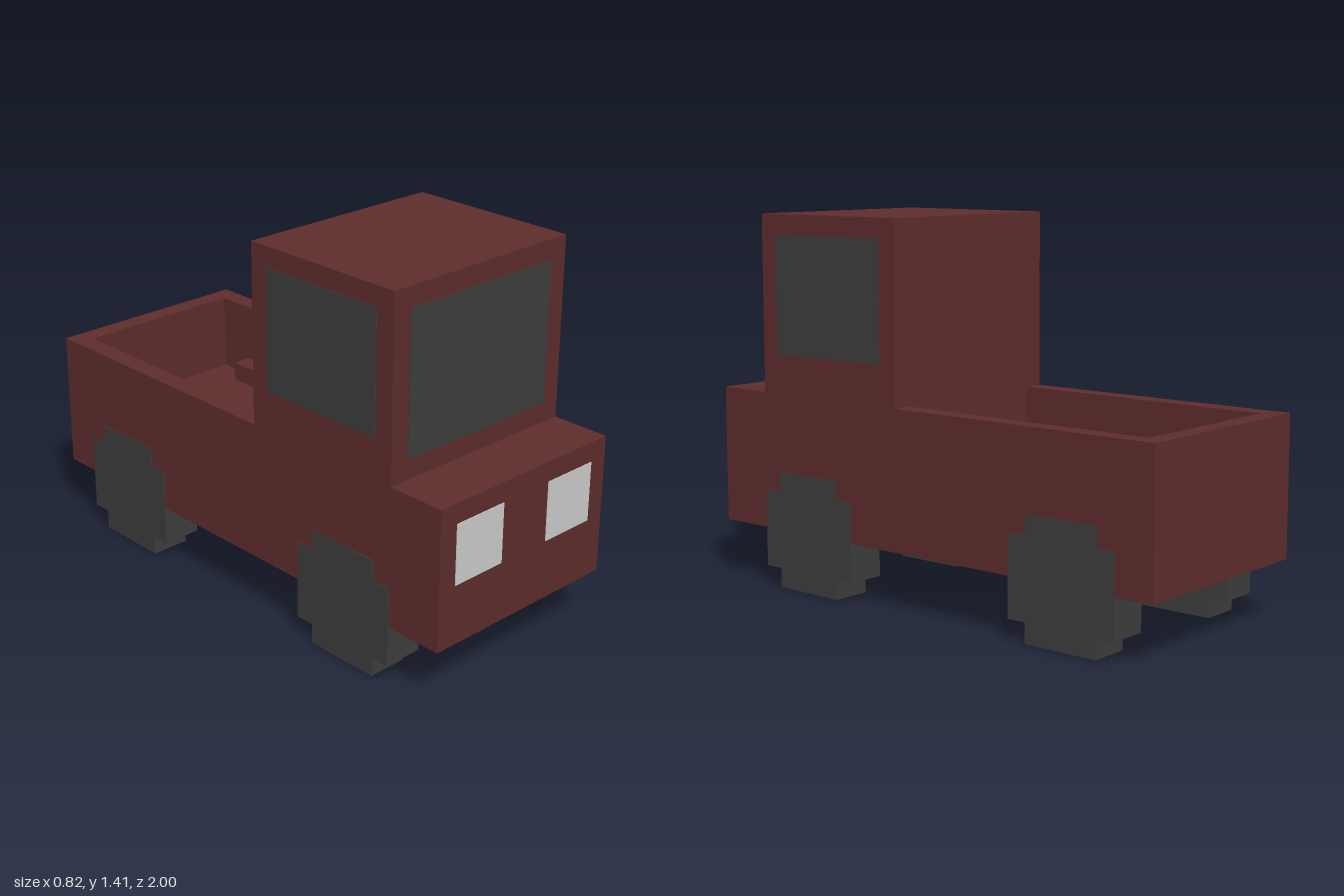
import * as THREE from 'three';

const U = 2 / 27; // one block of the grid

export function createModel() {
  const truck = new THREE.Group();
  truck.name = 'pickupTruck';

  const mat = (name, color) => {
    const m = new THREE.MeshStandardMaterial({ color });
    m.name = name;
    return m;
  };
  const red = mat('darkRedPaint', 0x5d2c2c);
  const dark = mat('charcoal', 0x3c3c3c);
  const pale = mat('paleGrey', 0xc9c9c9);

  // Box given by its limits in blocks
  const block = (parent, name, material, [x0, x1], [y0, y1], [z0, z1]) => {
    const geo = new THREE.BoxGeometry((x1 - x0) * U, (y1 - y0) * U, (z1 - z0) * U);
    const mesh = new THREE.Mesh(geo, material);
    mesh.name = name;
    mesh.position.set((x0 + x1) / 2 * U, (y0 + y1) / 2 * U, (z0 + z1) / 2 * U);
    parent.add(mesh);
    return mesh;
  };
  const mirrored = (s, a, b) => (s > 0 ? [a, b] : [-b, -a]);
  const P = 0.04; // how far thin plates stand proud, in blocks

  // Body: solid nose, tall cab and open bed
  block(truck, 'nose', red, [-5.5, 5.5], [3, 10], [1.5, 13.5]);
  block(truck, 'cab', red, [-5.5, 5.5], [10, 19], [1.5, 10.5]);
  block(truck, 'bedFloor', red, [-5.5, 5.5], [3, 6], [-13.5, 1.5]);
  block(truck, 'tailgate', red, [-5.5, 5.5], [6, 10], [-13.5, -12.5]);

  // Windscreen
  block(truck, 'windscreen', dark, [-4.5, 4.5], [11, 18], [10.5 - P, 10.5 + P]);

  for (const s of [1, -1]) {
    const side = s > 0 ? 'left' : 'right';
    block(truck, side + 'BedWall', red, mirrored(s, 4.5, 5.5), [6, 10], [-12.5, 1.5]);
    block(truck, side + 'WheelArch', red, mirrored(s, 3.5, 4.5), [6, 7], [-10.5, -6.5]);
    block(truck, side + 'Window', dark, mirrored(s, 5.5 - P, 5.5 + P), [12, 18], [2.5, 9.5]);
    block(truck, side + 'Headlight', pale, mirrored(s, 1.5, 4.5), [6, 9], [13.5 - P, 13.5 + P]);

    // Stepped wheels, a hair outside the body sides
    for (const [end, z] of [['Front', 7.5], ['Rear', -8.5]]) {
      const wheel = new THREE.Group();
      wheel.name = side + end + 'Wheel';
      const x = mirrored(s, 3.5, 5.5 + P);
      block(wheel, 'wheelMiddle', dark, x, [1, 5], [z - 3, z + 3]);
      block(wheel, 'wheelTop', dark, x, [5, 6], [z - 2, z + 2]);
      block(wheel, 'wheelBottom', dark, x, [0, 1], [z - 2, z + 2]);
      truck.add(wheel);
    }
  }
  return truck;
}
